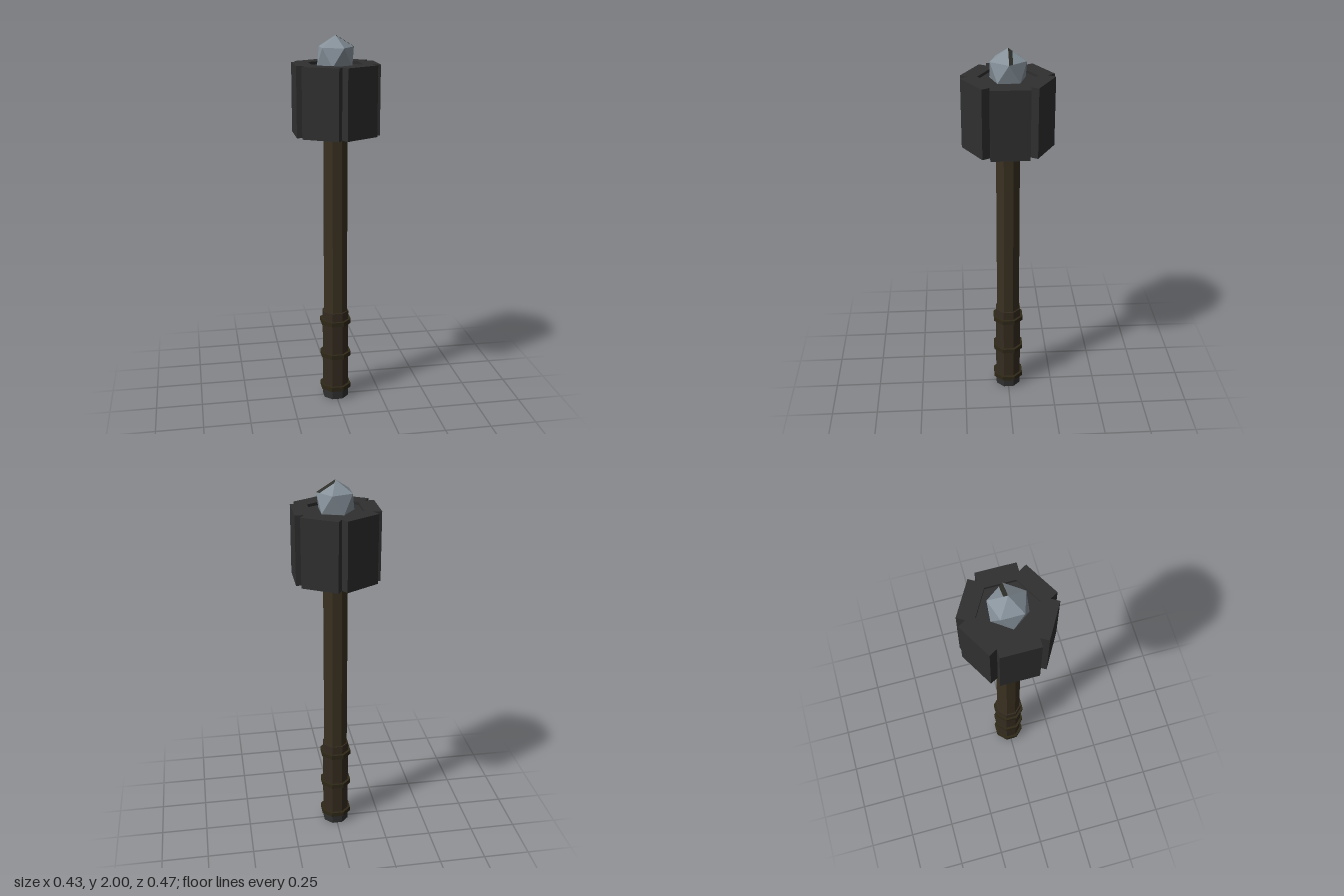
import * as THREE from 'three';

const mat = (name, color, side = THREE.FrontSide) => {
  const m = new THREE.MeshStandardMaterial({ color, flatShading: true, side });
  m.name = name;
  return m;
};

export function createModel() {
  const group = new THREE.Group();
  const iron = mat('dark iron', 0x303030);
  const wood = mat('dark wood', 0x3a3121);
  const leather = mat('grip leather', 0x352c20);
  const band = mat('grip band', 0x2f2818);
  const crystal = mat('grey crystal', 0x87929b);
  const streakMat = mat('crystal streak', 0x2f2f2a, THREE.DoubleSide);

  const add = (name, geometry, material) => {
    const mesh = new THREE.Mesh(geometry, material);
    mesh.name = name;
    group.add(mesh);
    return mesh;
  };

  // Upright prism between two heights, sized by the distance to its flats
  const prism = (name, apothem, y0, y1, sides, material, turn = Math.PI / sides) => {
    const r = apothem / Math.cos(Math.PI / sides);
    const g = new THREE.CylinderGeometry(r, r, y1 - y0, sides);
    g.rotateY(turn);
    g.translate(0, (y0 + y1) / 2, 0);
    return add(name, g, material);
  };

  // Handle
  prism('pommel', 0.067, 0, 0.055, 8, iron);
  prism('grip', 0.067, 0.055, 0.515, 8, leather);
  [0.065, 0.26, 0.455].forEach((y, i) =>
    prism('gripBand' + (i + 1), 0.08, y - 0.0125, y + 0.0125, 8, band));
  prism('shaft', 0.06, 0.5, 1.53, 8, wood);

  // Head: recessed hexagonal core inside six broad flanges
  prism('headCore', 0.135, 1.515, 1.845, 6, iron, 0);
  for (let i = 0; i < 6; i++) {
    const g = new THREE.BoxGeometry(0.084, 0.36, 0.196);
    g.translate(0.172, 1.68, 0);
    g.rotateY(i * Math.PI / 3);
    add('flange' + (i + 1), g, iron);
  }

  // Crystal: icosahedron standing on a point
  const gem = new THREE.IcosahedronGeometry(0.106, 0);
  gem.rotateZ(-Math.atan(2 / (1 + Math.sqrt(5))));
  gem.translate(0, 1.894, 0);
  add('crystal', gem, crystal);

  // Dark streak lying along one edge of an upper crystal face
  const streak = new THREE.BufferGeometry();
  streak.setAttribute('position', new THREE.Float32BufferAttribute([
    0, 2, 0, 0.095, 1.941, 0, 0.08, 1.941, -0.02, 0.0065, 1.987, -0.02,
  ], 3));
  streak.setIndex([0, 1, 2, 0, 2, 3]);
  streak.computeVertexNormals();
  streak.translate(0.0006, 0.001, -0.0004);
  add('crystalStreak', streak, streakMat);

  return group;
}
